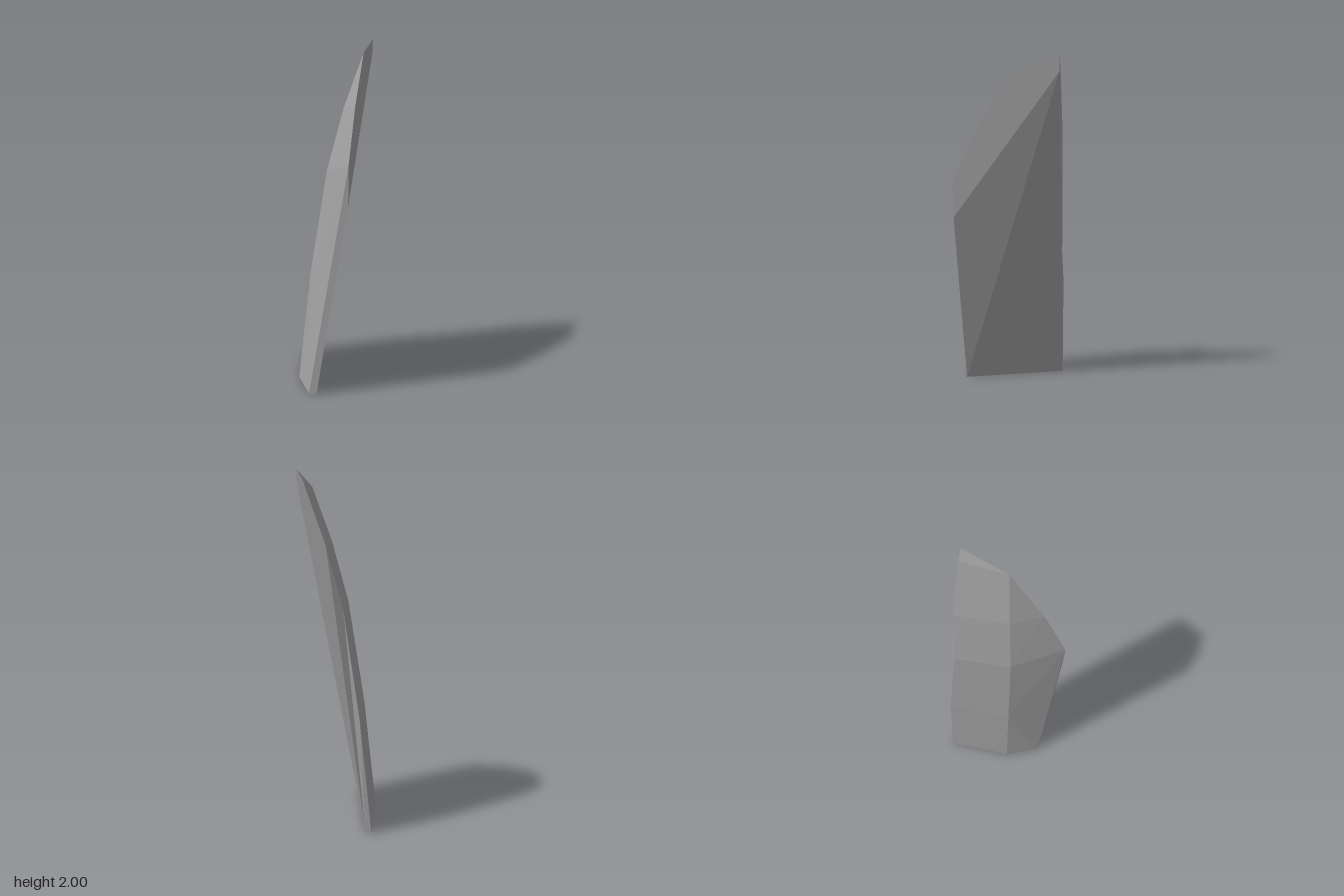
import * as THREE from 'three';

export function createModel() {
  const group = new THREE.Group();
  group.name = 'shard';
  const stone = new THREE.MeshStandardMaterial({ color: 0xa0a0a0 });
  stone.name = 'grey stone';

  // Corner points, from the base upwards
  const backEdge = [[-0.21, 0, -0.29], [-0.14, 0.65, -0.29], [-0.04, 1.25, -0.265],
    [0.05, 1.6, -0.29], [0.175, 1.94, -0.29], [0.21, 2, -0.29]];
  const ridge = [[-0.135, 0, 0.1], [-0.065, 0.67, 0.075], [0.025, 1.27, 0.045],
    [0.11, 1.62, 0], [0.21, 1.92, -0.045]];
  const frontEdge = [[-0.015, 0, 0.29], [0.21, 1.33, 0.29], [0.21, 1.63, 0.15]];
  const innerFront = [[0.03, 0, 0.29], [0.21, 1.12, 0.29]];
  const innerBack = [[-0.175, 0, -0.29], [0.21, 1.93, -0.29]];

  // Adds one mesh of flat facets; every polygon is split as a fan from its first corner
  function facets(name, polygons) {
    const pos = [];
    for (const p of polygons) {
      for (let i = 1; i < p.length - 1; i++) pos.push(...p[0], ...p[i], ...p[i + 1]);
    }
    const geo = new THREE.BufferGeometry();
    geo.setAttribute('position', new THREE.Float32BufferAttribute(pos, 3));
    geo.computeVertexNormals();
    const mesh = new THREE.Mesh(geo, stone);
    mesh.name = name;
    group.add(mesh);
  }

  // Curved outer side behind the ridge
  const outer = [];
  for (let i = 0; i < 4; i++) {
    outer.push([backEdge[i], ridge[i], backEdge[i + 1]], [backEdge[i + 1], ridge[i], ridge[i + 1]]);
  }
  outer.push([backEdge[4], ridge[4], backEdge[5]]);
  facets('outerRearSide', outer);

  // Outer side in front of the ridge
  const [foot, shoulder, chip] = frontEdge;
  facets('outerFrontSide', [
    [ridge[0], foot, ridge[1]], [ridge[1], foot, shoulder], [ridge[1], shoulder, ridge[2]],
    [ridge[2], shoulder, chip], [ridge[2], chip, ridge[3]], [ridge[3], chip, ridge[4]],
  ]);

  // Leaning inner side, upright cut, narrow ends and base
  facets('innerSide', [[innerFront[0], innerBack[0], innerBack[1], innerFront[1]]]);
  facets('uprightCut', [[innerFront[1], innerBack[1], backEdge[5], ridge[4], chip, shoulder]]);
  facets('frontEnd', [[foot, innerFront[0], innerFront[1], shoulder]]);
  facets('backEnd', [[innerBack[0], ...backEdge, innerBack[1]]]);
  facets('base', [[innerBack[0], innerFront[0], foot, ridge[0], backEdge[0]]]);

  return group;
}
